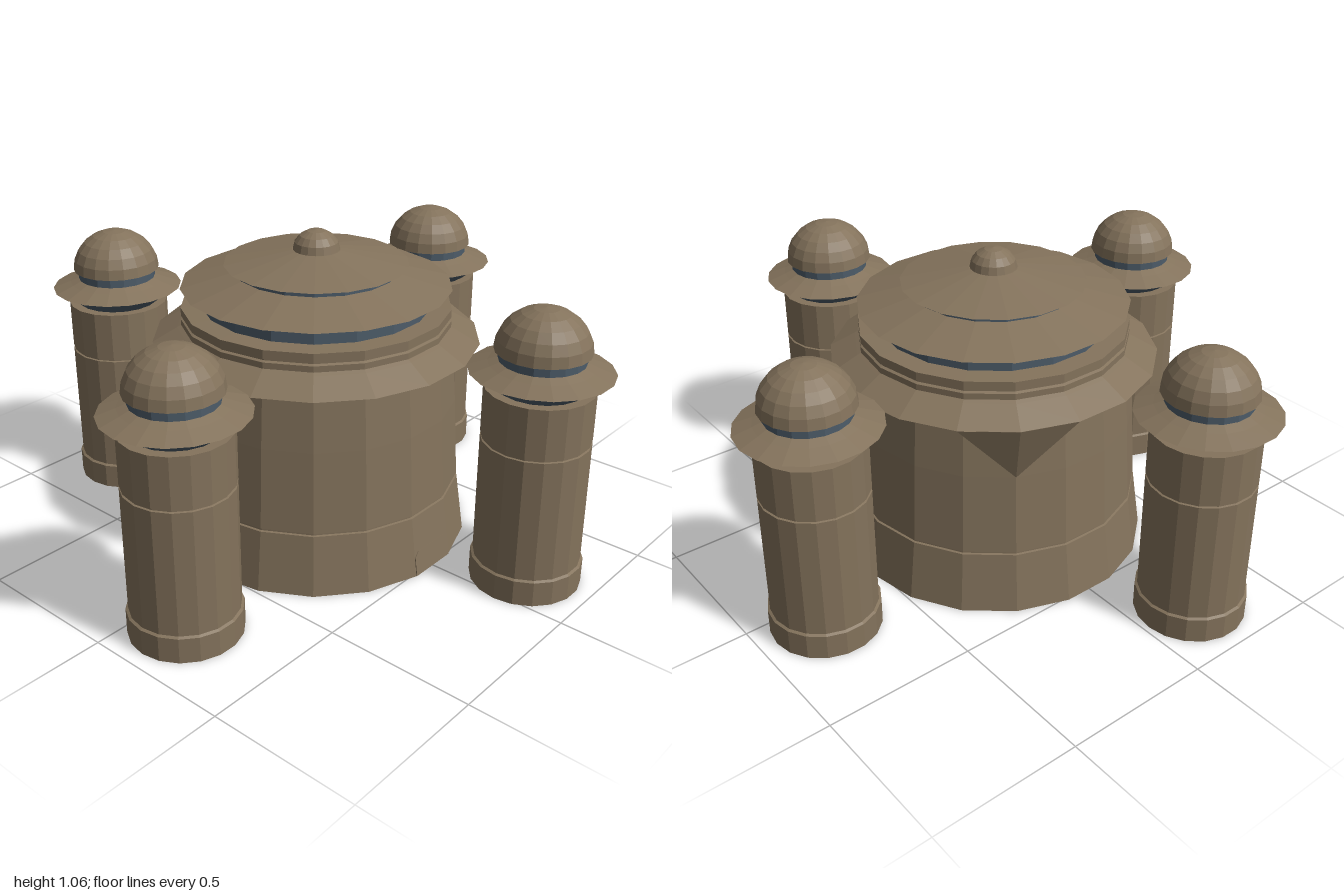
import * as THREE from 'three';

const SIDES = 18, STEP = Math.PI * 2 / SIDES;
const opts = { flatShading: true, side: THREE.DoubleSide };
const stone = new THREE.MeshStandardMaterial({ name: 'sandstone', color: 0x84735c, ...opts });
const slate = new THREE.MeshStandardMaterial({ name: 'blueSlate', color: 0x4d5c69, ...opts });

// faceted ring turned from [radius, height] pairs, bottom to top
function turned(name, profile, material) {
  const pts = profile.map(([r, y]) => new THREE.Vector2(r, y));
  const mesh = new THREE.Mesh(new THREE.LatheGeometry(pts, SIDES, STEP / 2), material);
  mesh.name = name;
  return mesh;
}

// quarter-round profile for domes
function domeProfile(r, y, h, n) {
  return Array.from({ length: n + 1 }, (_, i) => {
    const a = i / n * Math.PI / 2;
    return [r * Math.cos(a), y + h * Math.sin(a)];
  });
}

function createTower(x, z) {
  const tower = new THREE.Group();
  tower.name = 'tower';
  tower.add(
    turned('towerColumn', [[0.181, 0], [0.181, 0.085], [0.173, 0.09], [0.173, 0.505], [0.167, 0.507],
      [0.167, 0.513], [0.173, 0.515], [0.173, 0.682], [0.14, 0.682]], stone),
    turned('towerCollar', [[0.14, 0.682], [0.15, 0.69], [0.195, 0.73]], slate),
    turned('towerBrim', [[0.195, 0.73], [0.226, 0.736], [0.165, 0.758], [0.135, 0.77]], stone),
    turned('towerBand', [[0.135, 0.77], [0.135, 0.802]], slate),
    turned('towerDome', [[0.135, 0.802], ...domeProfile(0.15, 0.802, 0.138, 6)], stone));
  tower.position.set(x, 0, z);
  return tower;
}

// tapered bracket under the eave, spanning two wall facets
function createCorbel(angle) {
  const at = (r, y, a) => [r * Math.sin(a), y, r * Math.cos(a)];
  const tip = at(0.472, 0.49, angle);
  const rim = [
    at(0.455, 0.695, angle - STEP), at(0.54, 0.695, angle - STEP), at(0.54, 0.695, angle),
    at(0.54, 0.695, angle + STEP), at(0.455, 0.695, angle + STEP)];
  const verts = [];
  for (let i = 0; i < rim.length - 1; i++) verts.push(...tip, ...rim[i + 1], ...rim[i]);
  const geo = new THREE.BufferGeometry();
  geo.setAttribute('position', new THREE.Float32BufferAttribute(verts, 3));
  geo.computeVertexNormals();
  const mesh = new THREE.Mesh(geo, stone);
  mesh.name = 'corbel';
  return mesh;
}

// low doorway panel with clipped upper corners, leaning with the wall
function createDoor() {
  const s = new THREE.Shape();
  [[-0.088, 0], [0.088, 0], [0.088, 0.065], [0.07, 0.083], [-0.07, 0.083], [-0.088, 0.065]]
    .forEach(([x, y], i) => (i ? s.lineTo(x, y) : s.moveTo(x, y)));
  const door = new THREE.Mesh(new THREE.ExtrudeGeometry(s, { depth: 0.008, bevelEnabled: false }), stone);
  door.name = 'doorPanel';
  door.position.z = 0.507;
  door.rotation.x = -0.14;
  return door;
}

export function createModel() {
  const model = new THREE.Group();
  model.name = 'domedHallWithTowers';

  // central hall, open underneath
  const hall = new THREE.Group();
  hall.name = 'hall';
  hall.add(
    turned('hallWall', [[0.52, 0], [0.491, 0.205], [0.484, 0.207], [0.484, 0.213], [0.489, 0.215],
      [0.472, 0.49], [0.455, 0.695]], stone),
    turned('hallEave', [[0.455, 0.695], [0.543, 0.698], [0.46, 0.745]], stone),
    turned('hallCornice', [[0.46, 0.745], [0.447, 0.752], [0.447, 0.772], [0.438, 0.776], [0.438, 0.782],
      [0.446, 0.784], [0.446, 0.812], [0.38, 0.814]], stone),
    turned('lowerWindowBand', [[0.38, 0.814], [0.38, 0.873]], slate),
    turned('lowerRoof', [[0.38, 0.873], [0.446, 0.876], [0.27, 0.924]], stone),
    turned('upperWindowBand', [[0.27, 0.924], [0.27, 0.944]], slate),
    turned('upperRoof', [[0.27, 0.944], [0.303, 0.947], [0.08, 0.99], [0, 0.99]], stone),
    turned('finial', domeProfile(0.077, 0.99, 0.066, 4), stone),
    createCorbel(7.5 * STEP), createCorbel(12.5 * STEP), createDoor());
  model.add(hall);

  // four surrounding towers
  for (const [x, z] of [[0.155, 0.77], [0.765, -0.1], [-0.2, -0.772], [-0.768, 0.142]]) {
    model.add(createTower(x, z));
  }
  return model;
}
